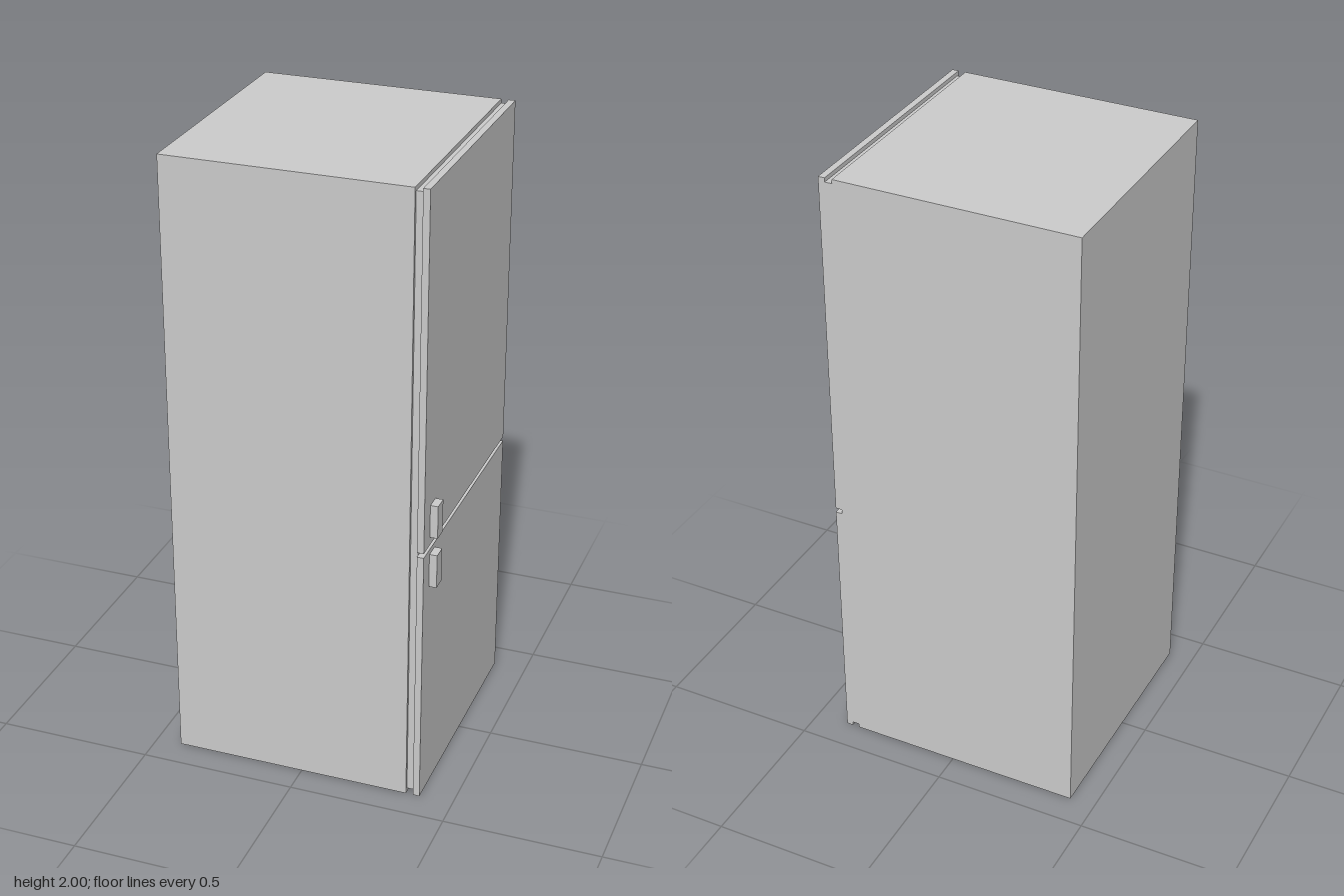
import * as THREE from 'three';

const material = new THREE.MeshStandardMaterial({ color: 0xcccccc, flatShading: true });

// Box given by its [min, max] extents on each axis
function block(name, [x0, x1], [y0, y1], [z0, z1]) {
  const mesh = new THREE.Mesh(new THREE.BoxGeometry(x1 - x0, y1 - y0, z1 - z0), material);
  mesh.position.set((x0 + x1) / 2, (y0 + y1) / 2, (z0 + z1) / 2);
  mesh.name = name;
  return mesh;
}

export function createModel() {
  const group = new THREE.Group();
  group.name = 'refrigerator';
  const depth = [-0.404, 0.404];

  // Cabinet and the recessed door seal, flush on the hinge side
  group.add(block('cabinet', [-0.418, 0.348], [0, 2], depth));
  group.add(block('doorSeal', [0.348, 0.371], [0.013, 1.987], [-0.404, 0.394]));

  // Doors with their handles beside the gap
  const doors = [
    { name: 'lower', door: [0, 0.853], handle: [0.727, 0.837] },
    { name: 'upper', door: [0.868, 2], handle: [0.895, 1.002] },
  ];
  for (const { name, door, handle } of doors) {
    group.add(block(name + 'Door', [0.371, 0.392], door, depth));
    group.add(block(name + 'Handle', [0.392, 0.416], handle, [0.302, 0.35]));
  }
  return group;
}
